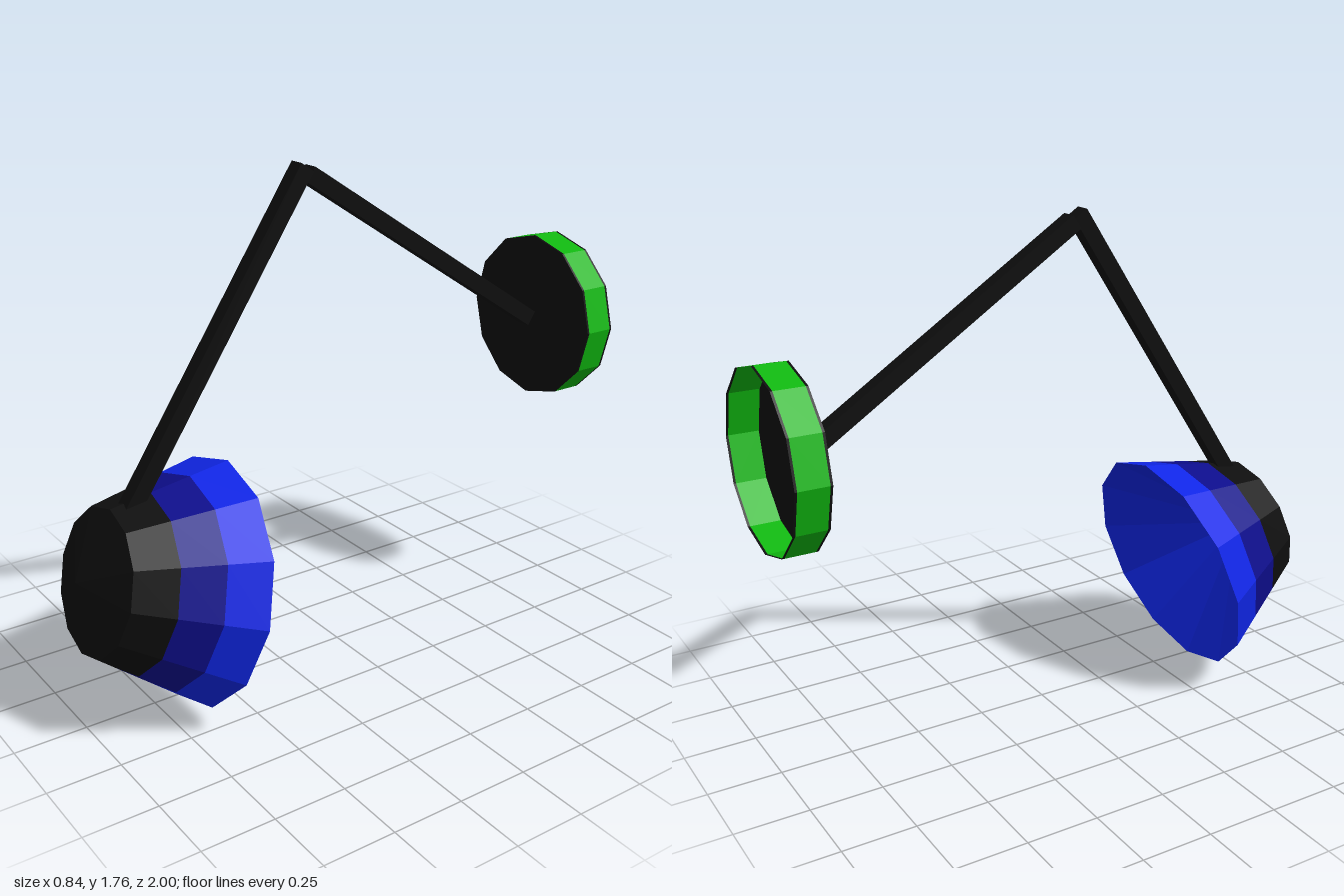
import * as THREE from 'three';

const SIDES = 12;

export function createModel() {
  const mat = (name, color) => new THREE.MeshStandardMaterial({ name, color, flatShading: true, side: THREE.DoubleSide });
  const black = mat('black', 0x0e0e0e);
  const blue = mat('bright blue', 0x1026e8);
  const navy = mat('navy blue', 0x0d0d8c);
  const green = mat('green', 0x10b810);

  const model = new THREE.Group();
  model.name = 'deskLamp';

  const add = (parent, name, geometry, material) => {
    const mesh = new THREE.Mesh(geometry, material);
    mesh.name = name;
    parent.add(mesh);
    return mesh;
  };

  // Open frustum running along local y from y0 to y1
  const band = (r0, r1, y0, y1) =>
    new THREE.CylinderGeometry(r1, r0, y1 - y0, SIDES, 1, true).translate(0, (y0 + y1) / 2, 0);

  // Lamp shade: three colour bands, a shallow pointed cap and a conical inside
  const shade = new THREE.Group();
  shade.name = 'shade';
  shade.position.set(0, 0.408, 0.55);
  shade.rotation.x = Math.PI / 2 - 0.27;
  model.add(shade);

  const rim = 0.42, neck = 0.244, depth = 0.397;
  [['shadeRimBand', blue], ['shadeMiddleBand', navy], ['shadeBackBand', black]].forEach(([name, material], i) => {
    const r = (t) => rim + (neck - rim) * t;
    const a = i / 3, b = (i + 1) / 3;
    add(shade, name, band(r(a), r(b), depth * a, depth * b), material);
  });
  add(shade, 'shadeCap', band(neck, 0, depth, depth + 0.072), black);
  add(shade, 'shadeInside', band(rim, 0, 0, 0.348), blue);

  // Square arms between two points (z, y) in the middle plane
  const arm = (name, [z0, y0], [z1, y1]) => {
    const from = new THREE.Vector3(0, y0, z0), to = new THREE.Vector3(0, y1, z1);
    const mesh = add(model, name, new THREE.BoxGeometry(0.056, 0.056, from.distanceTo(to)), black);
    mesh.position.copy(from).add(to).multiplyScalar(0.5);
    mesh.lookAt(to);
  };
  arm('lowerArm', [0.81, 0.72], [0.132, 1.745]);
  arm('upperArm', [0.118, 1.72], [-0.866, 1.08]);

  // Mounting disc: green hoop with thin black edges, closed at the front and open at the back
  const mount = new THREE.Group();
  mount.name = 'mount';
  mount.position.set(0, 1.085, -1);
  mount.rotation.x = Math.PI / 2;
  model.add(mount);

  const r = 0.302, width = 0.118, edge = 0.008;
  add(mount, 'mountHoop', band(r, r, edge, width - edge), green);
  add(mount, 'mountBackEdge', band(r, r, 0, edge), black);
  add(mount, 'mountFrontPlate', new THREE.CylinderGeometry(r, r, edge, SIDES).translate(0, width - edge / 2, 0), black);

  return model;
}
